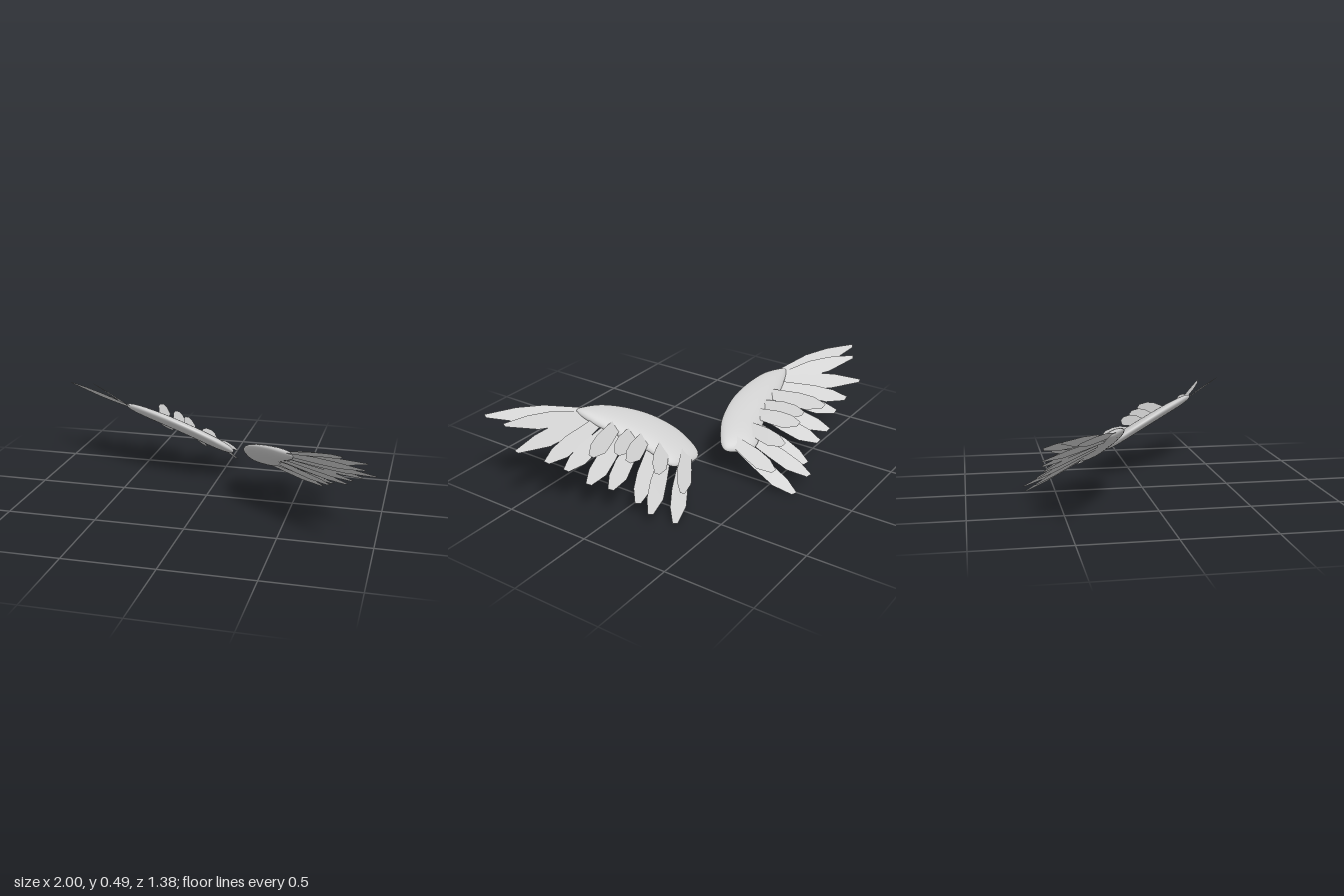
import * as THREE from 'three';
import { mergeVertices } from 'three/addons/utils/BufferGeometryUtils.js';

// Both wings lie near a tilted plane; this is its height and normal.
const planeY = (x, z) => 0.41 - 0.36 * (x + 0.5) + 0.5 * (z + 0.25);
const planeNormal = new THREE.Vector3(0.36, 1, -0.5).normalize();

// Mirror plane between the wings (vertical, turned about y).
const mirror = new THREE.Matrix4()
  .makeTranslation(0.055, 0, 0.033)
  .multiply(new THREE.Matrix4().makeRotationY(-1.075))
  .multiply(new THREE.Matrix4().makeScale(-1, 1, 1));

const bodyMaterial = new THREE.MeshStandardMaterial({ color: 0xcccccc });
const featherMaterial = new THREE.MeshStandardMaterial({ color: 0xcccccc, side: THREE.DoubleSide });

// Smooth curve through evenly spaced values
function curve(values) {
  const spline = new THREE.SplineCurve(values.map((v, i) => new THREE.Vector2(i, v)));
  return (t) => spline.getPoint(THREE.MathUtils.clamp(t, 0, 1)).y;
}

// Rounded arm: a sphere reshaped between a leading and a trailing edge
function armGeometry() {
  const front = curve([-0.235, -0.182, -0.15, -0.139, -0.158, -0.205]);
  const back = curve([-0.285, -0.308, -0.325, -0.345, -0.38, -0.31]);
  const thick = curve([0.024, 0.03, 0.034, 0.035, 0.035, 0.03]);
  let geo = new THREE.SphereGeometry(1, 32, 40).rotateZ(-Math.PI / 2);
  geo.deleteAttribute('uv');
  geo.deleteAttribute('normal');
  geo = mergeVertices(geo);
  const p = geo.attributes.position;
  for (let i = 0; i < p.count; i++) {
    const s = p.getX(i);
    const t = (s + 1) / 2;
    const r = Math.hypot(p.getY(i), p.getZ(i)) || 1;
    const f = Math.sqrt(Math.max(0, 1 - s ** 8));
    const x = -0.23 + 0.33 * s;
    const z = (front(t) + back(t)) / 2 + (p.getZ(i) / r) * f * (front(t) - back(t)) / 2;
    const y = planeY(x, z) + 0.01 * (1 - s * s) + (p.getY(i) / r) * f * thick(t);
    p.setXYZ(i, x, y, z);
  }
  geo.computeVertexNormals();
  return geo;
}

// Blade outlines as [across, along]: slender for flight feathers, blunt for the rest
const slender = [[-0.25, 0], [-0.5, 0.4], [-0.42, 0.68], [-0.1, 1], [0.1, 0.98], [0.5, 0.6], [0.46, 0.35], [0.25, 0]];
const blunt = [[-0.32, 0], [-0.48, 0.5], [-0.42, 0.78], [-0.14, 1], [0.16, 0.97], [0.5, 0.7], [0.45, 0.4], [0.32, 0]];

// Flat blade from base to tip, rolled about its own length
function featherGeometry(base, tip, width, roll, outline) {
  const along = tip.clone().sub(base);
  const across = along.clone().cross(planeNormal).normalize();
  across.applyAxisAngle(along.clone().normalize(), roll);
  const normal = across.clone().cross(along).normalize();
  const shape = new THREE.Shape(outline.map(([u, v]) => new THREE.Vector2(u * width, v)));
  return new THREE.ShapeGeometry(shape).applyMatrix4(
    new THREE.Matrix4().makeBasis(across, along, normal).setPosition(base));
}

// Flight feathers: base x, base z, tip x, y, z, width
const flight = [
  [-0.52, -0.25, -1.0, 0.48, -0.48, 0.1],
  [-0.52, -0.27, -0.88, 0.465, -0.545, 0.095],
  [-0.5, -0.28, -0.8, 0.36, -0.635, 0.1],
  [-0.45, -0.29, -0.65, 0.3, -0.625, 0.095],
  [-0.38, -0.29, -0.555, 0.25, -0.61, 0.095],
  [-0.31, -0.3, -0.435, 0.185, -0.63, 0.1],
  [-0.23, -0.3, -0.32, 0.16, -0.63, 0.1],
  [-0.14, -0.31, -0.18, 0.085, -0.63, 0.1],
  [-0.07, -0.31, -0.105, 0.06, -0.69, 0.095],
  [0.03, -0.31, 0.02, 0.0, -0.67, 0.095],
];

// Covert feathers, lifted off the wing: base x, tip x, tip z, lift
const coverts = [
  [-0.34, -0.42, -0.6, 0.13],
  [-0.25, -0.3, -0.53, 0.12],
  [-0.18, -0.24, -0.54, 0.11],
  [-0.08, -0.09, -0.53, 0.09],
  [0.04, 0.045, -0.55, 0.05],
];

function wingParts() {
  const parts = [['arm', armGeometry(), bodyMaterial]];
  flight.forEach(([bx, bz, x, y, z, width], i) => {
    const base = new THREE.Vector3(bx, planeY(bx, bz) - 0.004 * (i % 3), bz);
    const geo = featherGeometry(base, new THREE.Vector3(x, y, z), width, 0.15, i < 3 ? slender : blunt);
    parts.push([`flightFeather${i + 1}`, geo, featherMaterial]);
  });
  coverts.forEach(([bx, x, z, lift], i) => {
    const base = new THREE.Vector3(bx, planeY(bx, -0.28) + 0.025, -0.28);
    const tip = new THREE.Vector3(x, planeY(x, z) + lift, z);
    parts.push([`covertFeather${i + 1}`, featherGeometry(base, tip, 0.095, 0.3, blunt), featherMaterial]);
  });
  return parts;
}

// Reflected copy with its triangles turned the right way round
function mirrored(geo) {
  const copy = geo.clone().applyMatrix4(mirror);
  const index = copy.index;
  for (let i = 0; i < index.count; i += 3) {
    const a = index.getX(i);
    index.setX(i, index.getX(i + 1));
    index.setX(i + 1, a);
  }
  copy.computeVertexNormals();
  return copy;
}

export function createModel() {
  const model = new THREE.Group();
  model.name = 'wings';
  const right = new THREE.Group();
  right.name = 'rightWing';
  const left = new THREE.Group();
  left.name = 'leftWing';
  for (const [name, geo, material] of wingParts()) {
    const a = new THREE.Mesh(geo, material);
    const b = new THREE.Mesh(mirrored(geo), material);
    a.name = b.name = name;
    right.add(a);
    left.add(b);
  }
  model.add(right, left);
  return model;
}
